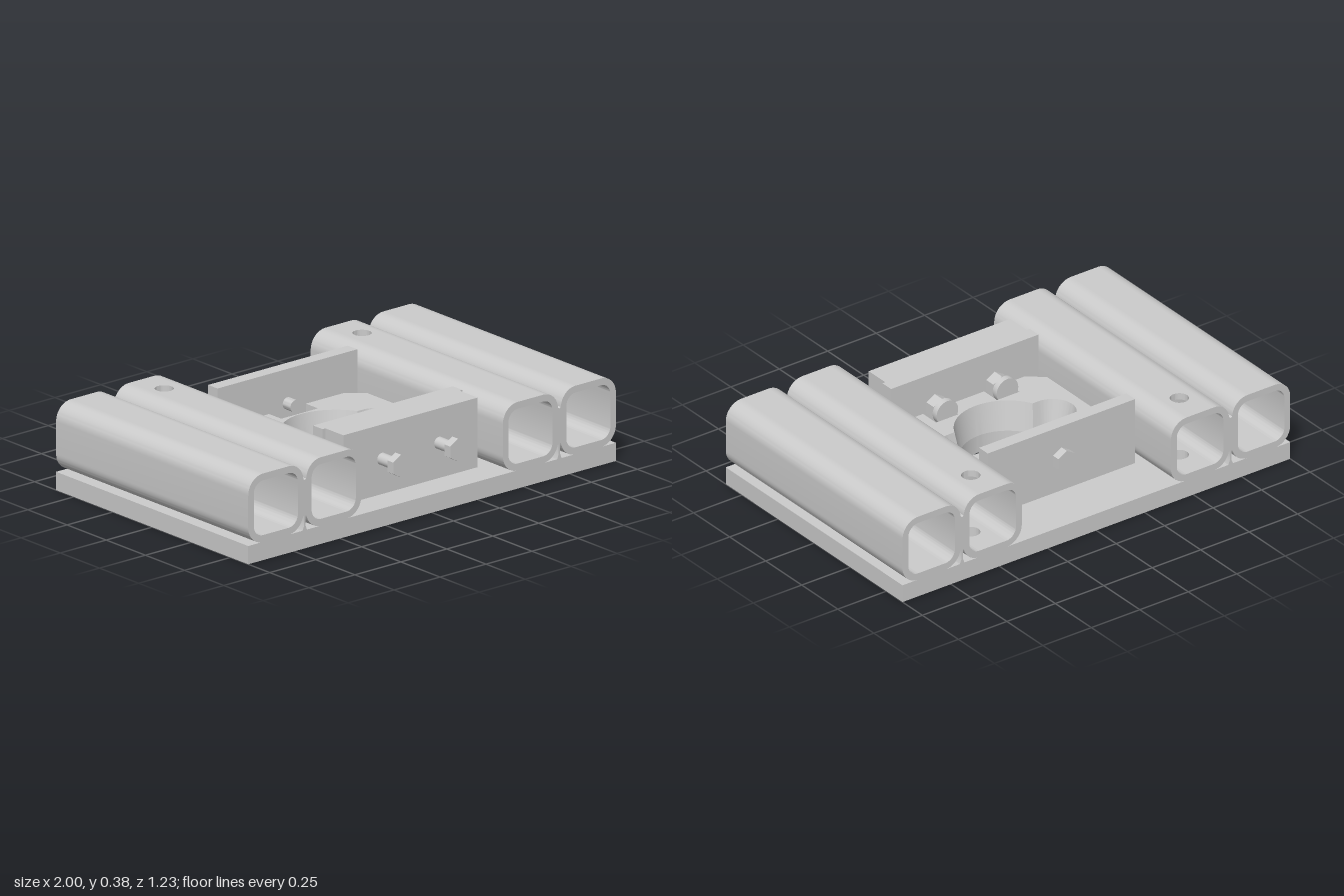
import * as THREE from 'three';
import { toCreasedNormals } from 'three/addons/utils/BufferGeometryUtils.js';

const grey = new THREE.MeshStandardMaterial({ color: 0xcccccc });
const greyDouble = new THREE.MeshStandardMaterial({ color: 0xcccccc, side: THREE.DoubleSide });
const HALF = 0.613, BASE = 0.08, BOLT_Y = 0.235;

function add(parent, name, geometry, material = grey) {
  const mesh = new THREE.Mesh(geometry, material);
  mesh.name = name;
  parent.add(mesh);
  return mesh;
}

// box given by its limits
function block(parent, name, x0, x1, y0, y1, z0, z1) {
  const g = new THREE.BoxGeometry(x1 - x0, y1 - y0, z1 - z0);
  g.translate((x0 + x1) / 2, (y0 + y1) / 2, (z0 + z1) / 2);
  return add(parent, name, g);
}

// extrusion along z, full depth of the plate
function alongZ(shape) {
  const g = new THREE.ExtrudeGeometry(shape, { depth: HALF * 2, bevelEnabled: false, curveSegments: 8 });
  g.translate(0, 0, -HALF);
  return toCreasedNormals(g, 0.6);
}

// horizontal slab; shape y is world -z
function slab(shape, y0, y1) {
  const g = new THREE.ExtrudeGeometry(shape, { depth: y1 - y0, bevelEnabled: false, curveSegments: 24 });
  g.rotateX(-Math.PI / 2).translate(0, y0, 0);
  return toCreasedNormals(g, 0.6);
}

const polygon = pts => new THREE.Shape(pts.map(([x, z]) => new THREE.Vector2(x, -z)));
const rect = (w, d) => polygon([[-w, d], [w, d], [w, -d], [-w, -d]]);
const roundHole = (x, z, r) => new THREE.Path().absarc(x, -z, r, 0, Math.PI * 2);

// circle of radius r with two round-ended side lobes reaching x = +-e
function keyhole(r, e, h) {
  const a = Math.asin(h / r), P = Math.PI;
  return new THREE.Path()
    .absarc(0, 0, r, a, P - a)
    .absarc(h - e, 0, h, P / 2, 1.5 * P)
    .absarc(0, 0, r, P + a, 2 * P - a)
    .absarc(e - h, 0, h, -P / 2, P / 2)
    .closePath();
}

// sloped wall joining two outlines of equal point count
function loft(lower, upper, y0, y1) {
  const pos = [], index = [], n = lower.length;
  lower.forEach((p, i) => pos.push(p.x, y0, -p.y, upper[i].x, y1, -upper[i].y));
  for (let i = 0; i < n; i++) {
    const a = 2 * i, b = 2 * ((i + 1) % n);
    index.push(a, a + 1, b, b, a + 1, b + 1);
  }
  const g = new THREE.BufferGeometry();
  g.setAttribute('position', new THREE.Float32BufferAttribute(pos, 3));
  g.setIndex(index);
  return toCreasedNormals(g, 0.6);
}

// rod along z; six sides give a hexagon with a corner up
function rod(parent, name, x, r, z0, z1, sides = 24) {
  let g = new THREE.CylinderGeometry(r, r, z1 - z0, sides);
  g.rotateX(Math.PI / 2).translate(x, BOLT_Y, (z0 + z1) / 2);
  return add(parent, name, toCreasedNormals(g, 0.6));
}

// rounded square tube, with an optional vertical bolt hole
function squareTube(x, holeX) {
  const group = new THREE.Group();
  group.name = 'squareTube';
  const P = Math.PI;
  const half = new THREE.Shape().moveTo(0.07, 0.15)
    .absarc(0.07, 0.07, 0.08, P / 2, 0, true)
    .absarc(0.07, -0.07, 0.08, 0, -P / 2, true)
    .lineTo(0.07, -0.12)
    .absarc(0.07, -0.07, 0.05, -P / 2, 0)
    .absarc(0.07, 0.07, 0.05, 0, P / 2)
    .closePath();
  for (const turn of [0, P]) add(group, 'tubeSide', alongZ(half)).rotation.z = turn;
  for (const y of [-0.15, 0.12]) {
    const wall = rect(0.07, HALF);
    if (holeX !== undefined) wall.holes.push(roundHole(holeX, -0.465, 0.04));
    add(group, y > 0 ? 'tubeTop' : 'tubeBottom', slab(wall, y, y + 0.03));
  }
  group.position.set(x, BASE + 0.15, 0);
  return group;
}

export function createModel() {
  const model = new THREE.Group();
  model.name = 'clampBase';
  const inner = keyhole(0.2, 0.3, 0.075), outer = keyhole(0.225, 0.33, 0.1);

  // base plate
  const base = rect(1, HALF);
  base.holes.push(inner, roundHole(-0.538, -0.465, 0.04), roundHole(0.538, -0.465, 0.04));
  add(model, 'basePlate', slab(base, 0, BASE));

  // tubes in pairs, with the weld seam between each pair
  for (const s of [-1, 1]) {
    model.add(squareTube(s * 0.85), squareTube(s * 0.535, s * 0.003));
    const seam = new THREE.Shape([[-0.025, 0.315], [-0.009, 0.295], [-0.009, 0.165], [-0.018, 0.135],
      [-0.004, 0.145], [-0.004, 0.1], [-0.012, BASE], [0.012, BASE], [0.004, 0.1], [0.004, 0.145],
      [0.018, 0.135], [0.009, 0.165], [0.009, 0.295], [0.025, 0.315], [0, 0.3]]
      .map(p => new THREE.Vector2(...p)));
    add(model, 'weldSeam', alongZ(seam)).position.x = s * 0.6925;
  }

  // middle plate with cut corners, bolt notches and a flared keyhole
  const top = 0.21;
  const middle = polygon([
    [-0.38, 0.24], [-0.31, 0.3], [-0.215, 0.3], [-0.215, 0.21], [-0.1, 0.21], [-0.1, 0.3],
    [0.1, 0.3], [0.1, 0.21], [0.215, 0.21], [0.215, 0.3], [0.31, 0.3], [0.38, 0.24],
    [0.38, -0.25], [0.31, -0.31], [0.1, -0.31], [0.1, -0.232], [-0.1, -0.232], [-0.1, -0.31],
    [-0.31, -0.31], [-0.38, -0.25]]);
  middle.holes.push(outer);
  add(model, 'middlePlate', slab(middle, BASE, top));
  const outline = path => {
    const pts = path.getPoints(24);
    return pts[0].distanceTo(pts[pts.length - 1]) < 1e-6 ? pts.slice(0, -1) : pts;
  };
  add(model, 'keyholeFlare', loft(outline(inner), outline(outer), BASE, top), greyDouble);

  // jaws
  block(model, 'rearJaw', -0.38, 0.38, BASE, 0.385, -0.37, -0.31);
  block(model, 'frontJaw', -0.38, 0.38, BASE, 0.385, 0.3, 0.36);
  block(model, 'frontJawFace', -0.365, 0.365, BASE, 0.385, 0.36, 0.475);

  // front bolts with nuts and pressure pads
  for (const x of [-0.155, 0.155]) {
    rod(model, 'frontBoltHead', x, 0.05, 0.56, 0.598, 6);
    rod(model, 'frontBoltShaft', x, 0.026, 0.24, 0.56);
    rod(model, 'frontNut', x, 0.05, 0.25, 0.3, 6);
    rod(model, 'pressurePad', x, 0.056, 0.212, 0.24);
  }

  // rear bolt
  rod(model, 'rearBoltHead', 0, 0.05, -0.407, -0.37, 6);
  rod(model, 'rearBoltShaft', 0, 0.026, -0.37, -0.26);
  return model;
}
